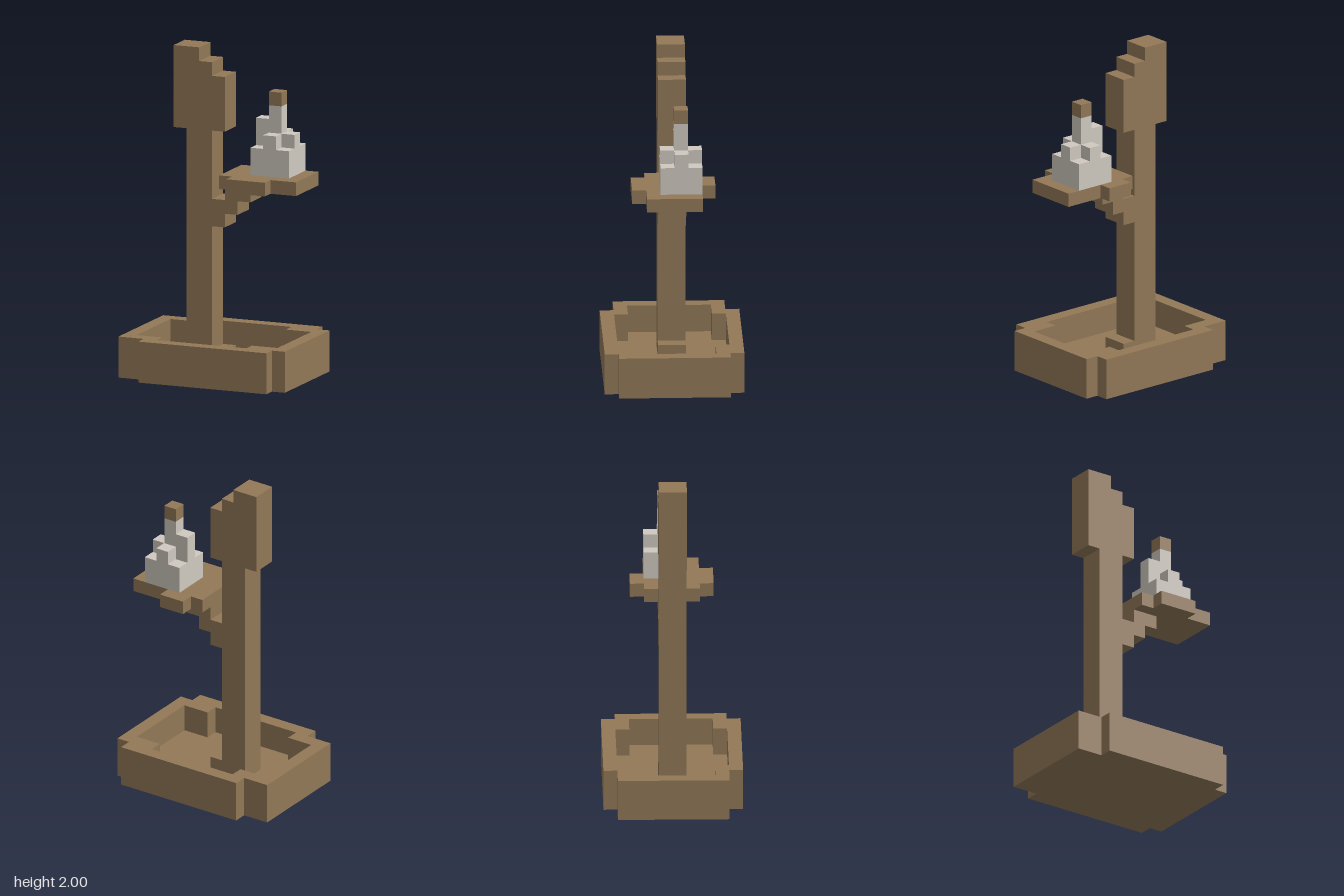
import * as THREE from 'three';

// Everything sits on a 13 x 24 x 10 block grid.
const UNIT = 1 / 12;

const wood = new THREE.MeshStandardMaterial({ color: 0x927857 });
wood.name = 'wood brown';
const wax = new THREE.MeshStandardMaterial({ color: 0xcfc9c0 });
wax.name = 'wax grey';

function addPart(parent, name, geometry, material) {
  geometry.translate(-6.5, 0, -5);
  geometry.scale(UNIT, UNIT, UNIT);
  const mesh = new THREE.Mesh(geometry, material);
  mesh.name = name;
  parent.add(mesh);
}

const toShape = (points) => new THREE.Shape(points.map(([x, y]) => new THREE.Vector2(x, y)));

// Outline seen from above (x, z), raised from y0 to y1.
// The hole runs the opposite way round so its walls face inwards.
function plan(points, y0, y1, hole) {
  const flip = (list) => list.map(([x, z]) => [x, -z]);
  const shape = toShape(flip(points));
  if (hole) shape.holes.push(toShape(flip(hole).reverse()));
  const geometry = new THREE.ExtrudeGeometry(shape, { depth: y1 - y0, bevelEnabled: false });
  return geometry.rotateX(-Math.PI / 2).translate(0, y0, 0);
}

// Outline seen from the front (x, y), two blocks thick.
function profile(points) {
  const geometry = new THREE.ExtrudeGeometry(toShape(points), { depth: 2, bevelEnabled: false });
  return geometry.translate(0, 0, 4);
}

function block(x0, x1, y0, y1, z0, z1) {
  const geometry = new THREE.BoxGeometry(x1 - x0, y1 - y0, z1 - z0);
  return geometry.translate((x0 + x1) / 2, (y0 + y1) / 2, (z0 + z1) / 2);
}

// Rectangle x0..x1, z0..z1 with its corners notched: inner x range a..b, one block deep.
function notched(x0, x1, z0, z1, a, b) {
  return [
    [a, z0], [b, z0], [b, z0 + 1], [x1, z0 + 1], [x1, z1 - 1], [b, z1 - 1],
    [b, z1], [a, z1], [a, z1 - 1], [x0, z1 - 1], [x0, z0 + 1], [a, z0 + 1],
  ];
}

export function createModel() {
  const model = new THREE.Group();
  model.name = 'candleStand';

  // Tray base with a recessed floor
  const cavity = notched(1, 12, 1, 9, 3, 10);
  addPart(model, 'baseRim', plan(notched(0, 13, 0, 10, 2, 12), 0, 3, cavity), wood);
  addPart(model, 'baseFloor', plan(cavity, 0, 1), wood);

  // Post with its foot, stepped arm and stepped head
  addPart(model, 'post', profile([
    [4, 1], [7, 1], [7, 2], [6, 2], [6, 11], [7, 11], [7, 12], [8, 12], [8, 13], [9, 13],
    [9, 14], [7, 14], [7, 13], [6, 13], [6, 18], [7, 18], [7, 22], [6, 22], [6, 23],
    [5, 23], [5, 24], [3, 24], [3, 18], [4, 18],
  ]), wood);

  // Candle plate, with a wider tab at the front than at the back
  addPart(model, 'plate', plan([
    [7, 3], [8, 3], [8, 2], [10, 2], [10, 3], [13, 3],
    [13, 7], [11, 7], [11, 8], [8, 8], [8, 7], [7, 7],
  ], 14, 15), wood);

  // Melted candle: column tops from back to front, left to right in x
  const candle = new THREE.Group();
  candle.name = 'candle';
  const tops = [
    [17, 18, 17],
    [19, 20, 18],
    [17, 18, 17],
  ];
  tops.forEach((row, k) => row.forEach((top, i) => {
    addPart(candle, 'waxColumn', block(9 + i, 10 + i, 15, top, 3 + k, 4 + k), wax);
  }));
  addPart(candle, 'wick', block(10, 11, 20, 21, 4, 5), wood);
  model.add(candle);

  return model;
}
